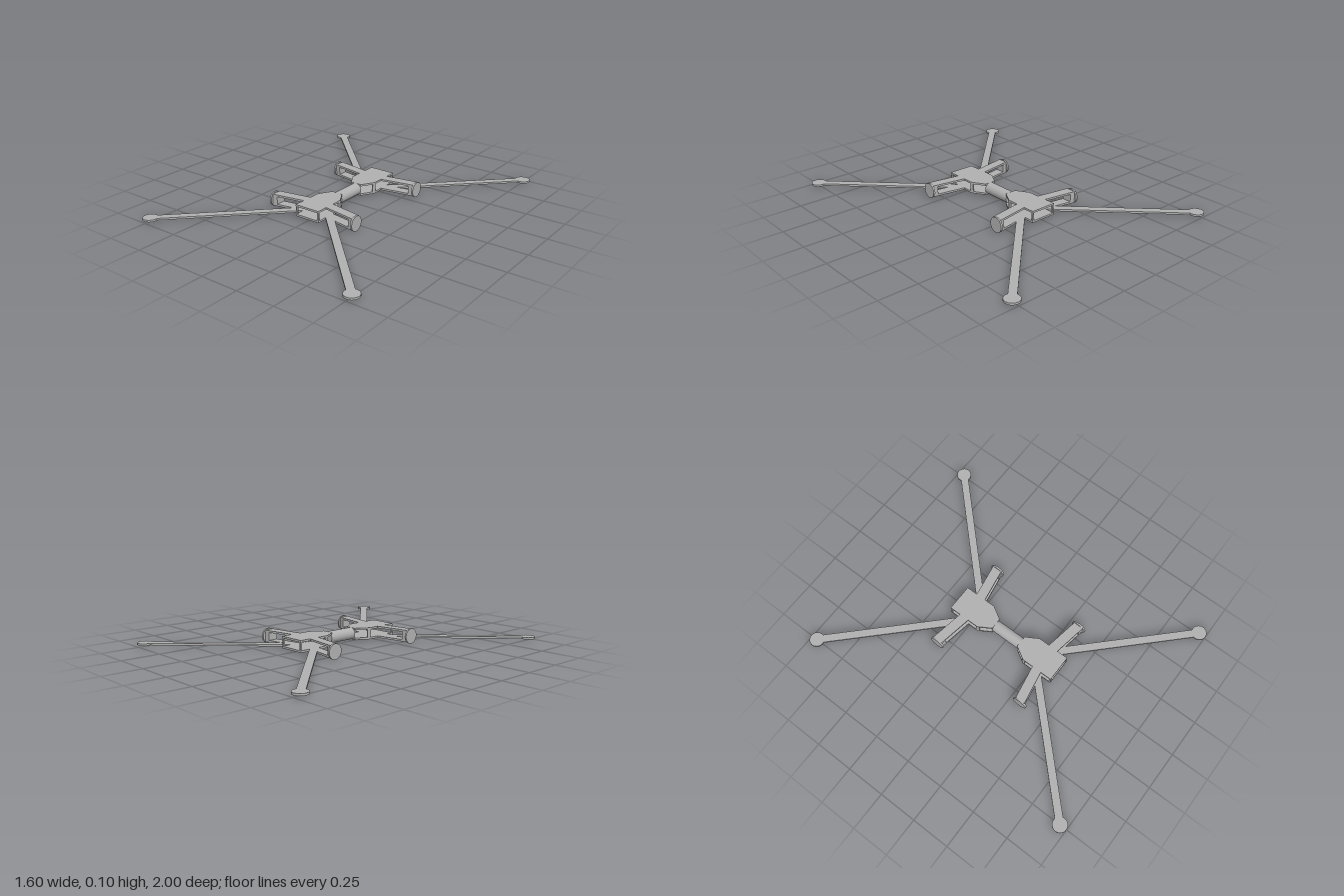
import * as THREE from 'three';

const LOW = 0.012, HIGH = 0.075, THICK = 0.0125; // plate heights
const grey = new THREE.MeshStandardMaterial({ color: 0xb0b0b0 });
grey.name = 'frame grey';

function add(parent, name, geometry, x = 0, y = 0, z = 0) {
  const mesh = new THREE.Mesh(geometry, grey);
  mesh.name = name;
  mesh.position.set(x, y, z);
  parent.add(mesh);
  return mesh;
}

// Flat plate from an outline of [x, z] points, its underside at height y
function plate(parent, name, outline, y, thick = THICK) {
  const shape = new THREE.Shape(outline.map(([x, z]) => new THREE.Vector2(x, z)));
  const geometry = new THREE.ExtrudeGeometry(shape, { depth: thick, bevelEnabled: false });
  geometry.rotateX(Math.PI / 2);
  return add(parent, name, geometry, 0, y + thick, 0);
}

export function createModel() {
  const model = new THREE.Group();
  model.name = 'quadFrame';
  const gap = HIGH - LOW - THICK;

  // Central tube joining the two body halves
  add(model, 'centreTube', new THREE.CylinderGeometry(0.038, 0.038, 0.2, 40).rotateX(Math.PI / 2), 0, 0.05, 0);

  for (const sz of [1, -1]) {
    const half = new THREE.Group();
    half.name = sz > 0 ? 'frontHalf' : 'backHalf';
    model.add(half);

    // Upper and lower body plates
    const body = [[-0.087, 0.393], [0.087, 0.393], [0.087, 0.18], [0.038, 0.098], [-0.038, 0.098], [-0.087, 0.18]]
      .map(([x, z]) => [x, z * sz]);
    plate(half, 'lowerBodyPlate', body, LOW);
    plate(half, 'upperBodyPlate', body, HIGH);

    for (const sx of [1, -1]) {
      const place = (points) => points.map(([x, z]) => [x * sx, z * sz]);

      // Posts between the body plates
      plate(half, 'shoulderPost', place([[0.087, 0.192], [0.087, 0.18], [0.081, 0.17], [0.075, 0.17], [0.075, 0.192]]), LOW + THICK, gap);
      plate(half, 'cornerPost', place([[0.087, 0.393], [0.087, 0.382], [0.076, 0.382], [0.076, 0.393]]), LOW + THICK, gap);

      // Short swept arm: two rails, an end block and a round cap
      const rail = place([[0.08, 0.252], [0.308, 0.291], [0.308, 0.356], [0.08, 0.317]]);
      plate(half, 'lowerArmRail', rail, LOW);
      plate(half, 'upperArmRail', rail, HIGH);
      plate(half, 'armEndBlock', place([[0.275, 0.285], [0.308, 0.291], [0.308, 0.356], [0.275, 0.35]]), LOW + THICK, gap);
      add(half, 'armCap', new THREE.CylinderGeometry(0.048, 0.048, 0.012, 40).rotateZ(Math.PI / 2),
        0.311 * sx, 0.048, 0.324 * sz);

      // Long diagonal leg with a round pad
      const w = 0.0175;
      plate(half, 'longLeg', place([[0.065 + w, 0.268 - w], [0.753 + w, 0.953 - w], [0.753 - w, 0.953 + w], [0.065 - w, 0.268 + w]]), LOW);
      add(half, 'legPad', new THREE.CylinderGeometry(0.047, 0.047, THICK, 40), 0.753 * sx, LOW + THICK / 2, 0.953 * sz);
    }
  }
  return model;
}
